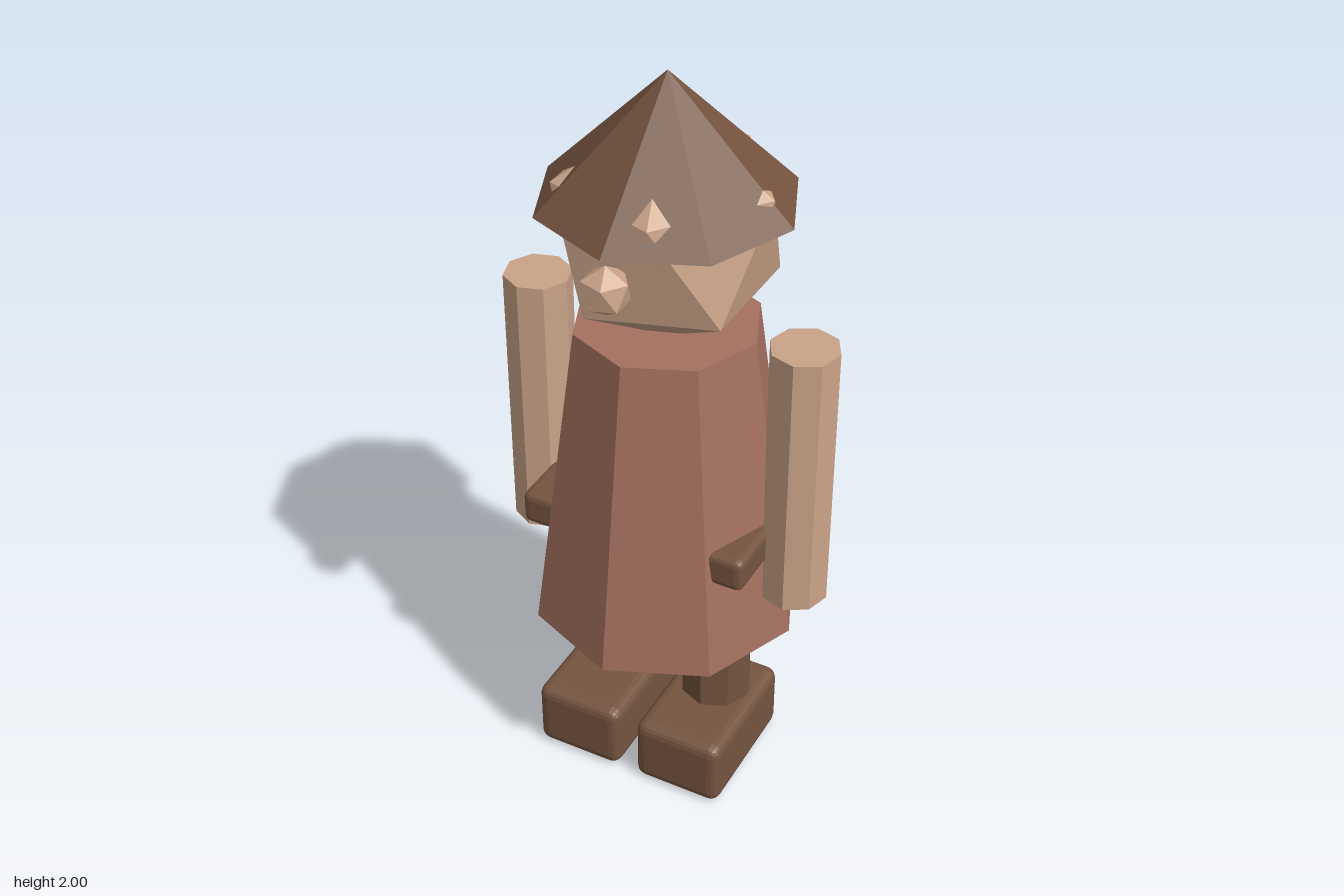
import * as THREE from 'three';
import { RoundedBoxGeometry } from 'three/addons/geometries/RoundedBoxGeometry.js';

export function createModel() {
  const model = new THREE.Group();
  model.name = 'hattedFigure';

  const material = (name, color) => {
    const m = new THREE.MeshStandardMaterial({ color, flatShading: true });
    m.name = name;
    return m;
  };
  const brown = material('dark brown', 0x755440);
  const tan = material('pale wood', 0xcaa388);
  const clay = material('clay red', 0xa57160);

  const add = (name, geometry, mat, x, y, z) => {
    const mesh = new THREE.Mesh(geometry, mat);
    mesh.name = name;
    mesh.position.set(x, y, z);
    model.add(mesh);
    return mesh;
  };

  // icosahedron standing on a corner, upper ring pointing to +x
  const uprightIcosahedron = (radius) =>
    new THREE.IcosahedronGeometry(radius, 0)
      .rotateX(-Math.atan2(1 + Math.sqrt(5), 2))
      .rotateY(Math.PI / 2);

  // head, whose upper corners poke through the hat as studs
  add('head', uprightIcosahedron(0.307), tan, 0, 1.6, 0);
  add('nose', uprightIcosahedron(0.065), tan, 0, 1.585, 0.3);
  add('hat', new THREE.ConeGeometry(0.325, 0.325, 8), brown, 0, 1.8375, 0);

  // robe, with a belt block showing at both sides
  add('robe', new THREE.CylinderGeometry(0.24, 0.36, 0.866, 8), clay, 0, 0.907, 0);
  add('belt', new RoundedBoxGeometry(0.63, 0.095, 0.42, 2, 0.02), brown, 0, 0.786, 0);

  // limbs, mirrored
  for (const [side, s] of [['left', 1], ['right', -1]]) {
    const arm = add(side + 'Arm', new THREE.CylinderGeometry(0.0886, 0.0886, 0.748, 8), tan, s * 0.367, 0.995, 0);
    arm.rotation.y = s * 0.1;
    add(side + 'Leg', new THREE.CylinderGeometry(0.097, 0.097, 0.42, 8), brown, s * 0.151, 0.35, 0);
    add(side + 'Shoe', new RoundedBoxGeometry(0.25, 0.195, 0.386, 2, 0.03), brown, s * 0.151, 0.0975, 0.053);
  }

  return model;
}
